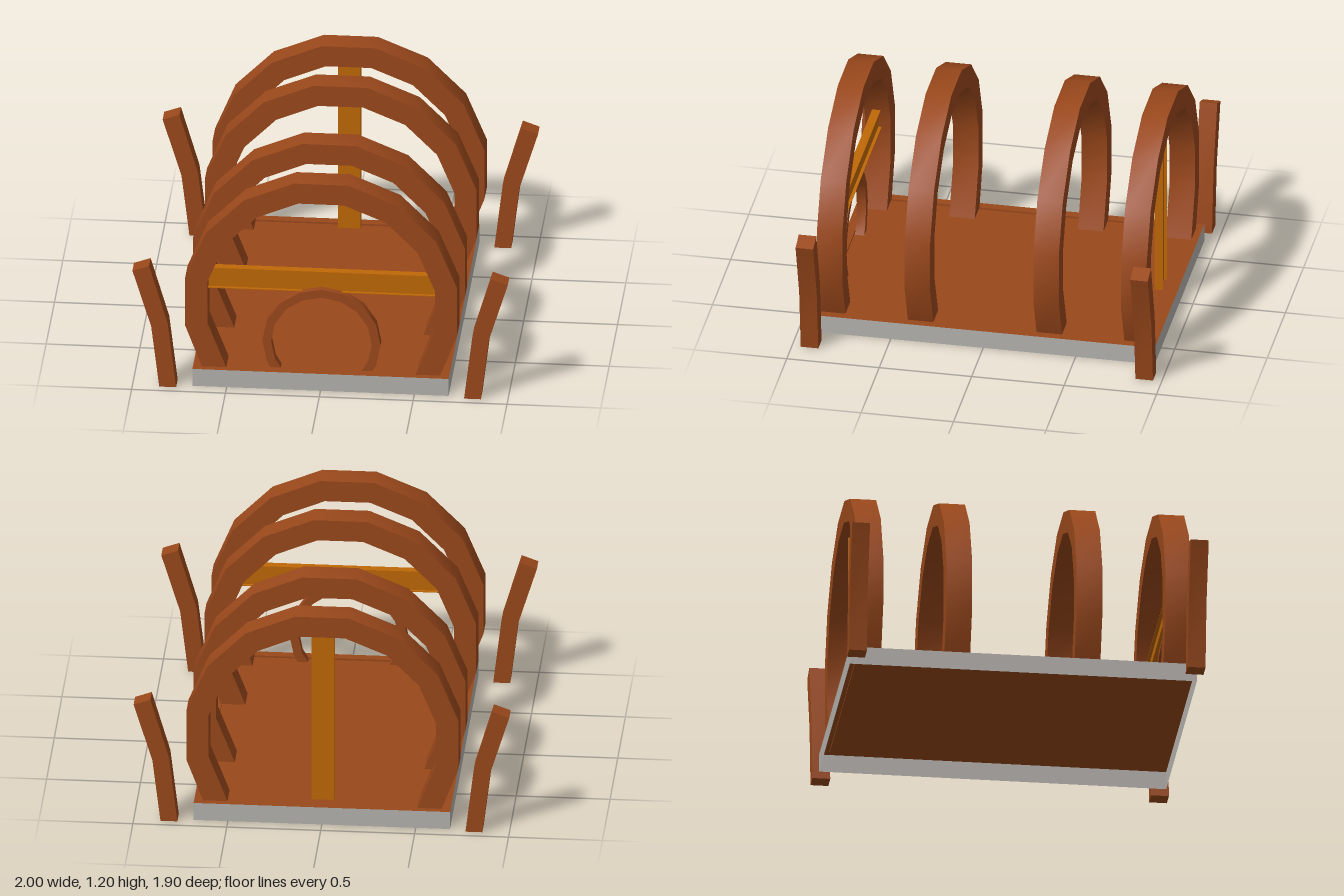
import * as THREE from 'three';
import { toCreasedNormals } from 'three/addons/utils/BufferGeometryUtils.js';

const material = (name, color) => {
  const mat = new THREE.MeshStandardMaterial({ color, side: THREE.DoubleSide });
  mat.name = name;
  return mat;
};
const wood = material('brown wood', 0x9a481b);
const amber = material('amber wood', 0xbf6806);
const stone = material('grey stone', 0xb5b2ae);

// Extrudes a closed outline of [x, y] points, centred on z = 0, smooth along gentle bends.
function slab(points, depth) {
  const shape = new THREE.Shape(points.map(([x, y]) => new THREE.Vector2(x, y)));
  const geo = new THREE.ExtrudeGeometry(shape, { depth, bevelEnabled: false });
  return toCreasedNormals(geo.translate(0, 0, -depth / 2), 0.6);
}

// Mirrors the right half of an arch (foot to crown) into a full outline.
function archOutline(outer, inner) {
  const mirror = (pts) => pts.map(([x, y]) => [-x, y]).reverse();
  const across = (pts) => [...pts, ...mirror(pts).filter(([x]) => x !== 0)];
  return [...across(outer), ...across(inner).reverse()];
}

// Points on a circle between two angles in degrees, in 22.5 degree steps.
function arc(radius, cy, from, to) {
  const pts = [];
  for (let a = from; a <= to + 0.01; a += 22.5) {
    const t = THREE.MathUtils.degToRad(a);
    pts.push([a === 90 ? 0 : radius * Math.cos(t), cy + radius * Math.sin(t)]);
  }
  return pts;
}

// Four thin upright walls around a rectangle, open above and below.
function openWalls(w, d, y0, y1) {
  const geo = new THREE.CylinderGeometry(Math.SQRT1_2, Math.SQRT1_2, 1, 4, 1, true);
  geo.rotateY(Math.PI / 4).scale(w, y1 - y0, d).translate(0, (y0 + y1) / 2, 0);
  return toCreasedNormals(geo, 0.6);
}

// Flat rectangular border lying level.
function flatBorder(w, d, border) {
  const rect = (path, a, b) => path.moveTo(-a, -b).lineTo(a, -b).lineTo(a, b).lineTo(-a, b).closePath();
  const shape = new THREE.Shape();
  const hole = new THREE.Path();
  rect(shape, w / 2, d / 2);
  rect(hole, w / 2 - border, d / 2 - border);
  shape.holes.push(hole);
  return new THREE.ShapeGeometry(shape).rotateX(-Math.PI / 2);
}

// Upright beam with a central web and two thin side flanges.
function flangedBeam(name, length) {
  const beam = new THREE.Group();
  beam.name = name;
  const piece = (label, w, d, x) => {
    const mesh = new THREE.Mesh(new THREE.BoxGeometry(w, length, d), amber);
    mesh.name = label;
    mesh.position.x = x;
    beam.add(mesh);
  };
  piece('web', 0.116, 0.012, 0);
  for (const side of [1, -1]) piece('flange', 0.004, 0.046, side * 0.058);
  return beam;
}

export function createModel() {
  const model = new THREE.Group();
  model.name = 'longhouseFrame';
  const add = (name, geo, mat, x = 0, y = 0, z = 0) => {
    const mesh = new THREE.Mesh(geo, mat);
    mesh.name = name;
    mesh.position.set(x, y, z);
    model.add(mesh);
  };

  // Hollow foundation: thin grey walls, wooden border and slightly recessed floor
  const w = 1.365, d = 1.855, border = 0.05, floorY = 0.09;
  const innerW = w - 2 * border, innerD = d - 2 * border;
  add('foundationWalls', openWalls(w, d, 0, 0.1), stone);
  add('floorBorder', flatBorder(w, d, border), wood, 0, 0.1, 0);
  add('floorStep', openWalls(innerW, innerD, floorY, 0.1), wood);
  add('floor', new THREE.PlaneGeometry(innerW, innerD).rotateX(-Math.PI / 2), wood, 0, floorY, 0);

  // Four large arches
  const archGeo = slab(archOutline(
    [[0.635, 0.1], ...arc(0.738, 0.48, -11.25, 78.75)],
    [[0.505, 0.1], ...arc(0.618, 0.48, -11.25, 78.75)],
  ), 0.138);
  for (const z of [0.823, 0.348, -0.348, -0.823]) add('arch', archGeo, wood, 0, 0, z);

  // Small round door frame at the front
  const doorGeo = slab(archOutline(
    [[0.272, 0.1], ...arc(0.315, 0.255, -22.5, 90)],
    [[0.216, 0.1], ...arc(0.268, 0.255, -22.5, 90)],
  ), 0.05);
  add('doorFrame', doorGeo, wood, 0, 0, 0.845);

  // Front crossbar and rear upright
  const crossbar = flangedBeam('crossbar', 1.22);
  crossbar.rotation.z = Math.PI / 2;
  crossbar.position.set(0, 0.605, 0.826);
  const upright = flangedBeam('rearUpright', 0.99);
  upright.position.set(0, 0.595, -0.826);
  model.add(crossbar, upright);

  // Four bent corner posts leaning outward
  const post = [[0.767, 0], [0.857, 0], [0.9, 0.355], [1, 0.68], [0.911, 0.712], [0.812, 0.375]];
  for (const side of [1, -1]) {
    const geo = slab(post.map(([x, y]) => [side * x, y]), 0.095);
    for (const z of [0.905, -0.905]) add('cornerPost', geo, wood, 0, 0, z);
  }
  return model;
}
